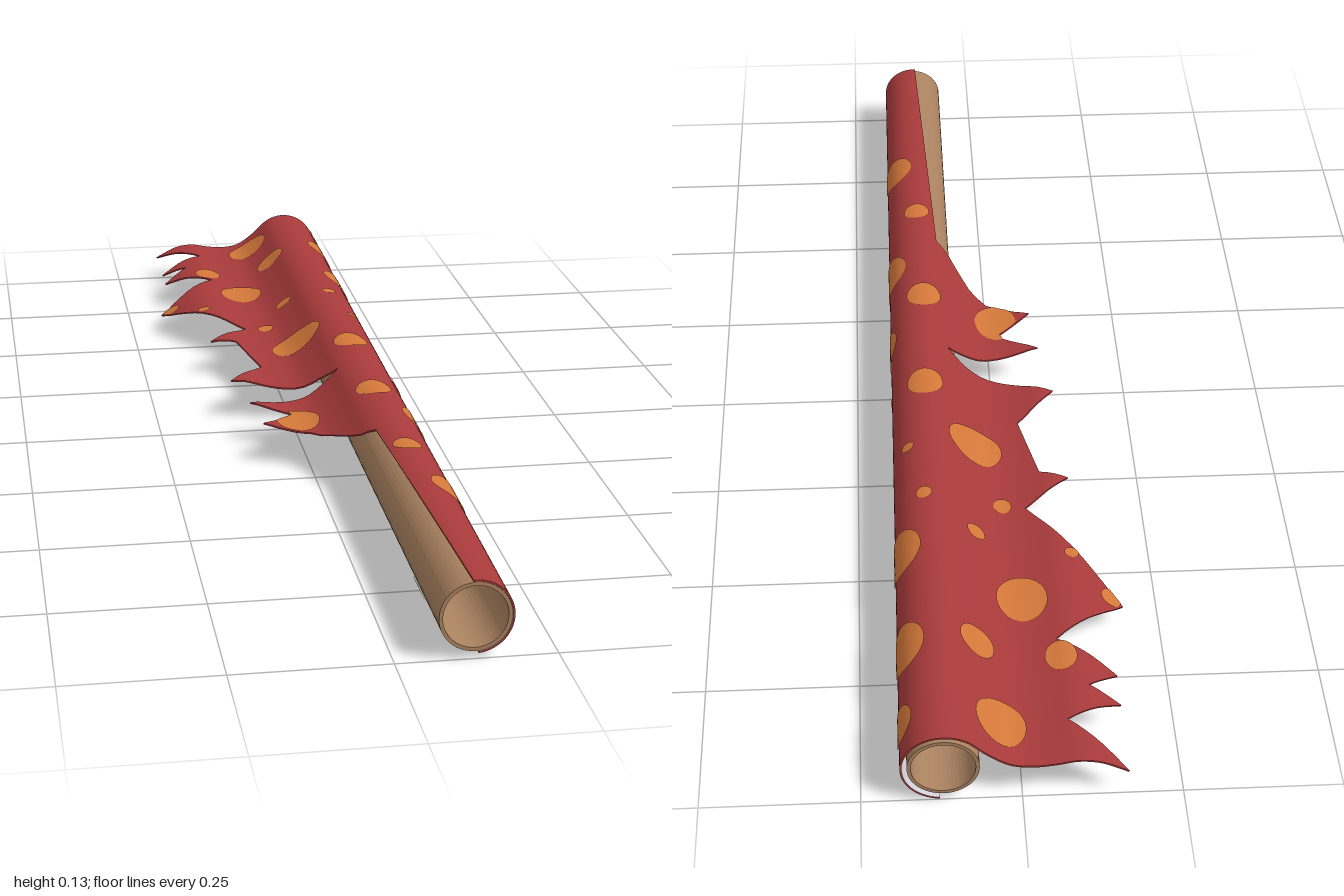
import * as THREE from 'three';

const CX = 0.122, CY = 0.07, JOIN = 2.09, START = -1.48, THICK = 0.003;
const mat = (name, color, side = THREE.FrontSide) =>
  Object.assign(new THREE.MeshStandardMaterial({ color, side }), { name });

// Torn edge of the paper as [z, x]
const TEAR = [
  [-1, -0.165], [-0.91, -0.075], [-0.86, -0.165], [-0.835, -0.115], [-0.795, -0.165], [-0.73, -0.07],
  [-0.62, -0.19], [-0.4, -0.04], [-0.325, -0.12], [-0.31, -0.07], [-0.165, -0.04], [-0.08, -0.11],
  [-0.02, 0.05], [0.005, 0.08], [0.05, -0.09], [0.1, -0.015], [0.16, -0.08], [0.2, 0], [0.24, 0.03],
  [0.32, 0.068], [0.345, 0.09], [1, 0.117]];

// Height of the loose flap, at even steps of x away from the tube
const flap = new THREE.SplineCurve([0.129, 0.098, 0.074, 0.068, 0.071, 0.077, 0.072, 0.055, 0.036]
  .map((y, i) => new THREE.Vector2(0.09 - i * 0.035, y)));

const radius = z => THREE.MathUtils.lerp(0.067, 0.0595, (z + 1) / 2);

// Position across the paper: an angle on the tube, then a distance along the flap
function qFromX(x, z) {
  const r = radius(z), x0 = CX + r * Math.cos(JOIN);
  return x >= x0 ? Math.acos(Math.min(1, (x - CX) / r)) : JOIN + (x0 - x) / r;
}

function section(q, z) {
  const r = radius(z);
  if (q <= JOIN) return [CX + r * Math.cos(q), CY + r * Math.sin(q)];
  const d = (q - JOIN) * r, x0 = CX + r * Math.cos(JOIN);
  const y = flap.getPoint(Math.min(1, d / 0.28)).y;
  const fix = CY + r * Math.sin(JOIN) - 0.129;
  return [x0 - d, y + fix * Math.exp(-d / 0.04)];
}

// Point on the paper, moved along its normal
function paperPoint(q, z, offset) {
  const [x, y] = section(q, z), a = section(q - 0.03, z), b = section(q + 0.03, z);
  const tx = b[0] - a[0], ty = b[1] - a[1], l = Math.hypot(tx, ty);
  return [x + ty / l * offset, y - tx / l * offset, z];
}

function edgeQ(z) {
  let i = 0;
  while (i < TEAR.length - 2 && TEAR[i + 1][0] < z) i++;
  const [z0, x0] = TEAR[i], [z1, x1] = TEAR[i + 1];
  return qFromX(x0 + (x1 - x0) * (z - z0) / (z1 - z0), z);
}

// Grid of nu by nv cells from a rule
function grid(nu, nv, rule, flip = false) {
  const pos = [], idx = [];
  for (let j = 0; j <= nv; j++) for (let i = 0; i <= nu; i++) pos.push(...rule(i / nu, j));
  for (let j = 0; j < nv; j++) for (let i = 0; i < nu; i++) {
    const a = j * (nu + 1) + i, b = a + 1, c = a + nu + 1, d = c + 1;
    idx.push(...(flip ? [a, c, b, b, c, d] : [a, b, c, b, d, c]));
  }
  const g = new THREE.BufferGeometry();
  g.setAttribute('position', new THREE.Float32BufferAttribute(pos, 3));
  g.setIndex(idx);
  g.computeVertexNormals();
  return g;
}

export function createModel() {
  const red = mat('red paper', 0xa83a3b);
  const redEdge = mat('red paper', 0xa83a3b, THREE.DoubleSide);
  const orange = mat('orange spots', 0xd4783a, THREE.DoubleSide);
  const grey = mat('pale paper back', 0xd2d0d8);
  const card = mat('brown cardboard', 0xaa8260);
  const tapeMat = mat('grey green tape', 0xa9ad98, THREE.DoubleSide);
  const model = new THREE.Group();
  model.name = 'wrappedTube';
  const add = (name, geo, m, parent = model) => {
    const mesh = new THREE.Mesh(geo, m);
    mesh.name = name;
    parent.add(mesh);
    return mesh;
  };

  // Cardboard tube with an open bore
  const ring = new THREE.Shape().absarc(0, 0, 0.056, 0, Math.PI * 2);
  ring.holes.push(new THREE.Path().absarc(0, 0, 0.05, 0, Math.PI * 2, true));
  const tube = add('cardboardTube',
    new THREE.ExtrudeGeometry(ring, { depth: 1.998, bevelEnabled: false, curveSegments: 24 }), card);
  tube.position.set(CX, CY, -0.999);

  // Rows through every tear point, closer together where the tear is steep
  const rows = [];
  for (let i = 0; i < TEAR.length - 1; i++) {
    const [z0, x0] = TEAR[i], [z1, x1] = TEAR[i + 1];
    const n = Math.ceil(Math.max((z1 - z0) / 0.05, Math.abs(x1 - x0) / 0.015));
    for (let k = 0; k < n; k++) rows.push(z0 + (z1 - z0) * k / n);
  }
  rows.push(1);
  const last = rows.length - 1;
  // Columns keep their place across the paper and stop at the tear
  const widest = Math.max(...rows.map(edgeQ));
  const across = (u, z) => Math.min(START + (widest - START) * u, edgeQ(z));

  // Paper: printed outside, plain inside, thin rim
  const paper = new THREE.Group();
  paper.name = 'tornPaper';
  model.add(paper);
  add('paperOutside', grid(72, last, (u, j) => paperPoint(across(u, rows[j]), rows[j], 0)), red, paper);
  add('paperInside', grid(72, last, (u, j) => paperPoint(across(u, rows[j]), rows[j], -THICK), true), grey, paper);
  for (const [name, u] of [['seamRim', 0], ['tornRim', 1]])
    add(name, grid(1, last, (k, j) => paperPoint(across(u, rows[j]), rows[j], -THICK * k)), redEdge, paper);
  for (const [name, z] of [['backRim', -1], ['frontRim', 1]])
    add(name, grid(72, 1, (u, j) => paperPoint(across(u, z), z, -THICK * j)), redEdge, paper);

  // Spots seen from above as [x, z, half width, half length]
  const topSpots = [
    [0.03, -0.92, 0.04, 0.048], [-0.075, -0.77, 0.026, 0.033], [0.06, -0.76, 0.027, 0.033],
    [-0.02, -0.63, 0.043, 0.053], [0.04, -0.25, 0.047, 0.048], [0.125, -0.115, 0.033, 0.037],
    [0.05, -0.485, 0.015, 0.017], [0, -0.395, 0.016, 0.019], [0.135, -0.425, 0.014, 0.015],
    [-0.015, 0.14, 0.04, 0.053], [0.12, 0.155, 0.033, 0.036], [0.127, 0.44, 0.025, 0.025],
    [-0.17, -0.61, 0.017, 0.02], [-0.11, -0.525, 0.012, 0.012]];
  // Spots on the side of the tube as [height, z, half width, half length]
  const sideSpots = [
    [0.105, -0.775, 0.045, 0.052], [0.1, -0.55, 0.05, 0.054], [0.087, 0.265, 0.05, 0.052],
    [0.107, 0.61, 0.045, 0.046], [0.09, -0.93, 0.035, 0.037], [0.066, 0.05, 0.045, 0.046],
    [0.06, -0.085, 0.01, 0.01], [0.122, -0.29, 0.013, 0.012], [0.01, -0.285, 0.034, 0.045],
    [0.022, 0.81, 0.04, 0.05], [0.012, 0.6, 0.025, 0.03]];
  const spots = new THREE.Group();
  spots.name = 'spots';
  model.add(spots);
  const spot = (q, z, w, l) => add('spot', grid(28, 6, (u, j) => {
    const a = u * Math.PI * 2, k = j / 6;
    const zz = THREE.MathUtils.clamp(z + Math.sin(a) * l * k, -1, 1);
    const qq = THREE.MathUtils.clamp(q + Math.cos(a) * w * k / radius(zz), START, edgeQ(zz));
    return paperPoint(qq, zz, 0.0018);
  }, true), orange, spots);
  for (const [x, z, w, l] of topSpots) spot(qFromX(x, z), z, w, l);
  for (const [y, z, w, l] of sideSpots) spot(Math.asin((y - CY) / radius(z)), z, w, l);

  // Tape pieces holding the seam underneath
  for (const z of [-0.72, -0.26, 0.82])
    add('tapePiece', grid(14, 1, (u, j) => {
      const a = 3.5 + u * 1.45, r = THREE.MathUtils.lerp(0.058, radius(z) + 0.002, Math.min(1, u * 1.3));
      return [CX + r * Math.cos(a), CY + r * Math.sin(a), z + (j - 0.5) * 0.055];
    }), tapeMat);

  return model;
}
